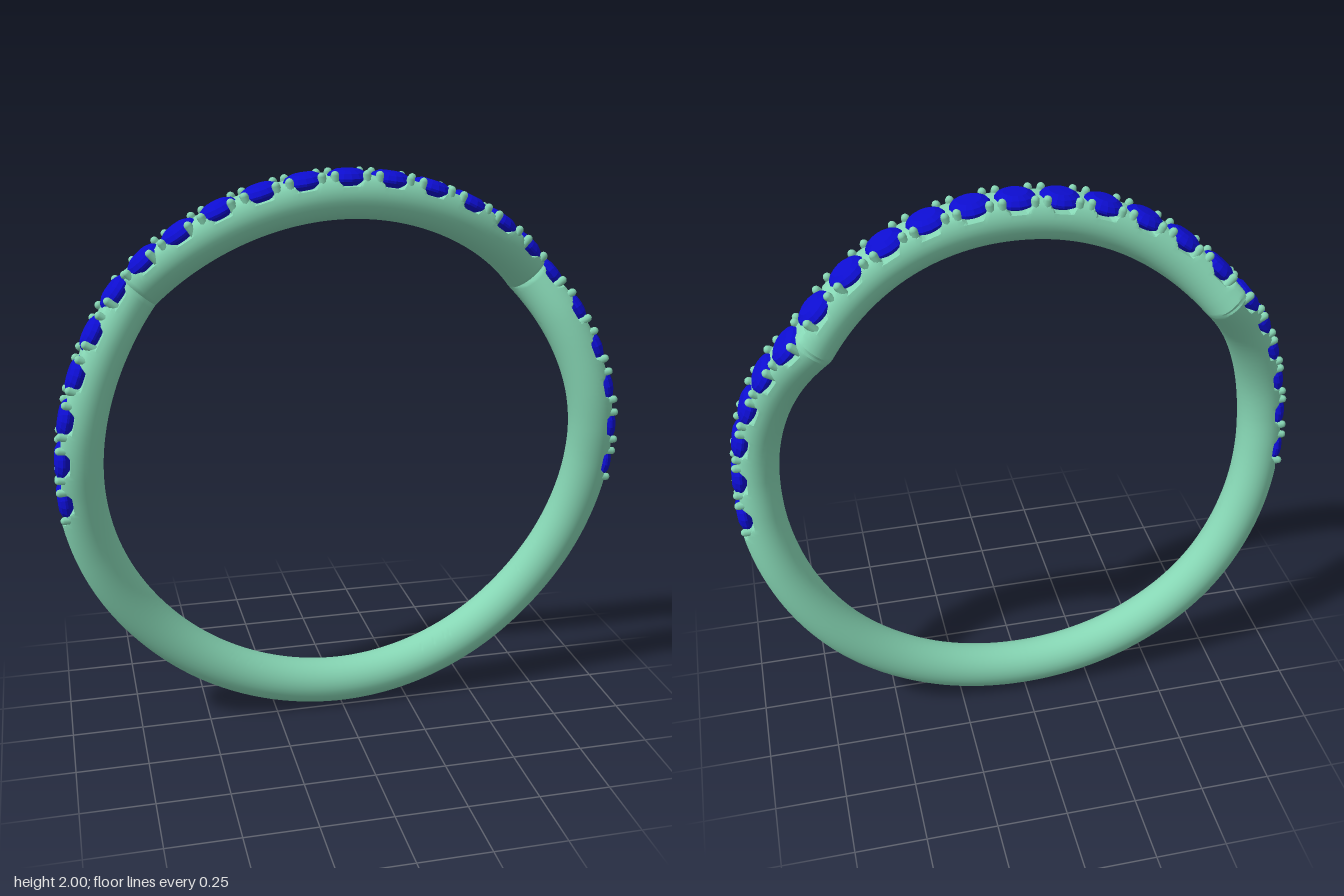
import * as THREE from 'three';
import { toCreasedNormals } from 'three/addons/utils/BufferGeometryUtils.js';

const CENTRE_Y = 1.002, RING = 0.917, TUBE = 0.082;
const KINK = 48.5, STEP = 8.6, PER_SIDE = 11;   // degrees from the top, stones per side

// Sideways wave of the band past the kink: angle -> z
const knots = [[KINK, -0.07], [60, 0], [69, 0.035], [78, 0.053], [86, 0.05], [94.5, 0.032],
  [110, -0.005], [130, -0.04], [150, -0.05], [180, -0.05]];
const wave = new THREE.CubicInterpolant(knots.map(k => k[0]), knots.map(k => k[1]), 1);

function bandZ(deg) {
  const a = Math.abs(deg);
  if (a <= KINK) return 0.066 - 0.136 * Math.pow(a / KINK, 2.6);
  return wave.evaluate(Math.min(a, 180))[0];
}

// dz per unit of arc length
function slope(deg) {
  return (bandZ(deg + 0.5) - bandZ(deg - 0.5)) / (RING * THREE.MathUtils.degToRad(1));
}

// Height of the flattened, scalloped seat that carries the stones
function seatHeight(deg) {
  const a = Math.abs(deg), end = PER_SIDE * STEP;
  const nearest = Math.min(Math.round(a / STEP), PER_SIDE) * STEP;
  const u = Math.abs(a - nearest) * Math.PI / 180 * RING;
  const h = 0.03 + 0.032 * THREE.MathUtils.smoothstep(u, 0.022, 0.05);
  return a > end ? h + 0.03 * THREE.MathUtils.smoothstep(u, 0.06, 0.1) : h;
}

// Round tube swept around the finger, mitred at the two kinks
function bandGeometry() {
  const N = 720, M = 32, pos = [], index = [];
  for (let i = 0; i <= N; i++) {
    const deg = i * 360 / N - 180, a = THREE.MathUtils.degToRad(deg);
    const widen = Math.min(Math.hypot(1, slope(deg)), 1.08);
    const cap = seatHeight(deg), z = bandZ(deg);
    for (let j = 0; j <= M; j++) {
      const p = j / M * Math.PI * 2;
      const r = RING + Math.min(TUBE * Math.cos(p), cap);
      pos.push(r * Math.sin(a), CENTRE_Y + r * Math.cos(a), z + TUBE * widen * Math.sin(p));
    }
  }
  for (let i = 0; i < N; i++) for (let j = 0; j < M; j++) {
    const a = i * (M + 1) + j, b = a + M + 1;
    index.push(a, a + 1, b, a + 1, b + 1, b);
  }
  const g = new THREE.BufferGeometry();
  g.setAttribute('position', new THREE.Float32BufferAttribute(pos, 3));
  g.setIndex(index);
  return toCreasedNormals(g, 0.6);
}

export function createModel() {
  const model = new THREE.Group();
  model.name = 'ring';
  const metal = new THREE.MeshStandardMaterial({ color: 0x86d6b4 });
  const gem = new THREE.MeshStandardMaterial({ color: 0x0d0dd0, flatShading: true });

  const band = new THREE.Mesh(bandGeometry(), metal);
  band.name = 'band';
  model.add(band);

  // Brilliant-cut stone: pavilion, girdle, crown, table
  const profile = [[0, -0.045], [0.07, -0.004], [0.071, 0.004], [0.06, 0.019], [0.04, 0.029], [0, 0.03]];
  const stoneGeo = new THREE.LatheGeometry(profile.map(p => new THREE.Vector2(...p)), 16);
  const prongGeo = new THREE.CapsuleGeometry(0.014, 0.05, 4, 8);

  for (let i = -PER_SIDE; i <= PER_SIDE; i++) {
    const deg = i * STEP, a = THREE.MathUtils.degToRad(deg);
    const out = new THREE.Vector3(Math.sin(a), Math.cos(a), 0);
    const along = new THREE.Vector3(Math.cos(a), -Math.sin(a), slope(deg)).normalize();
    const across = along.clone().cross(out);

    const setting = new THREE.Group();
    setting.name = 'setting';
    setting.quaternion.setFromRotationMatrix(new THREE.Matrix4().makeBasis(along, out, across));
    setting.position.copy(out).multiplyScalar(RING);
    setting.position.y += CENTRE_Y;
    setting.position.z = bandZ(deg);

    const stone = new THREE.Mesh(stoneGeo, gem);
    stone.name = 'stone';
    stone.position.y = 0.05;
    setting.add(stone);

    // Four prongs at the corners of each stone
    for (const sx of [-1, 1]) for (const sz of [-1, 1]) {
      const prong = new THREE.Mesh(prongGeo, metal);
      prong.name = 'prong';
      prong.position.set(sx * 0.053, 0.041, sz * 0.053);
      setting.add(prong);
    }
    model.add(setting);
  }
  return model;
}
